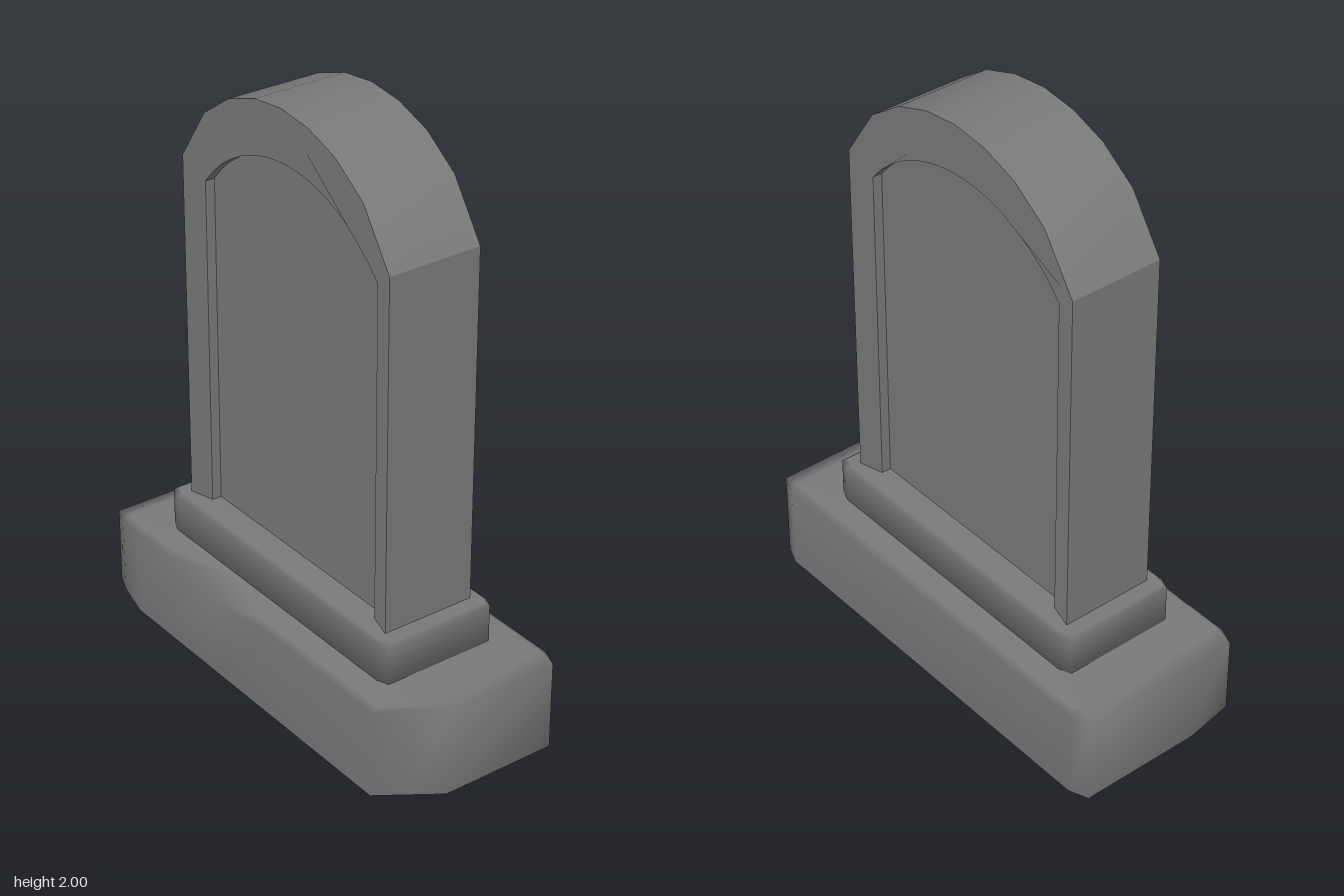
import * as THREE from 'three';
import { toCreasedNormals } from 'three/addons/utils/BufferGeometryUtils.js';

const material = new THREE.MeshStandardMaterial({ color: 0x797979 });

function addMesh(group, name, geometry) {
  const mesh = new THREE.Mesh(geometry, material);
  mesh.name = name;
  group.add(mesh);
}

// Closed solid through stacked rings of [x, y, z], counter-clockwise from above.
// Shared vertices give area-weighted normals: flat faces, softly shaded bevels.
function loft(rings) {
  const n = rings[0].length;
  const last = rings.length - 1;
  const points = rings.flat();
  const bottom = points.push([0, rings[0][0][1], 0]) - 1;
  const top = points.push([0, rings[last][0][1], 0]) - 1;
  const index = [];
  for (let i = 0; i < n; i++) {
    const j = (i + 1) % n;
    for (let k = 0; k < last; k++) {
      const a = k * n, b = a + n;
      index.push(a + i, a + j, b + j, a + i, b + j, b + i);
    }
    index.push(bottom, j, i, top, last * n + i, last * n + j);
  }
  const geo = new THREE.BufferGeometry();
  geo.setAttribute('position', new THREE.Float32BufferAttribute(points.flat(), 3));
  geo.setIndex(index);
  geo.computeVertexNormals();
  return geo;
}

// Extrude a [z, y] outline along x, centred
function slabOf(points, depth) {
  const shape = new THREE.Shape(points.map(([z, y]) => new THREE.Vector2(z, y)));
  const geo = new THREE.ExtrudeGeometry(shape, { depth, bevelEnabled: false });
  geo.translate(0, 0, -depth / 2);
  geo.rotateY(Math.PI / 2);
  return toCreasedNormals(geo, 0.5);
}

export function createModel() {
  const group = new THREE.Group();

  // Base: outer x, z, top bevel x, z, chip in the upper edge, chip in the lower edge
  const outline = [
    [0.31, 0.7, 0.285, 0.7, 0, 0],
    [0.31, -0.7, 0.285, -0.7, 0, 0],
    [0.285, -0.765, 0.27, -0.7, 0, 0],
    [-0.14, -0.765, -0.14, -0.7, 0, 0],
    [-0.285, -0.765, -0.27, -0.7, 0, 0.04],
    [-0.31, -0.7, -0.29, -0.69, 0, 0.04],
    [-0.31, -0.62, -0.29, -0.62, 0, 0],
    [-0.31, -0.43, -0.29, -0.43, 0, 0],
    [-0.31, -0.17, -0.22, -0.21, 0.03, 0],
    [-0.31, 0.08, -0.29, 0.08, 0, 0],
    [-0.31, 0.635, -0.287, 0.645, 0, 0],
    [-0.215, 0.7, -0.213, 0.695, -0.01, 0],
    [-0.12, 0.765, -0.2, 0.7, 0, 0],
    [0.285, 0.765, 0.27, 0.7, 0, 0],
  ];
  addMesh(group, 'base', loft([
    outline.map(([x, z, , , , lift]) => [x * (0.92 - 2 * lift), 0, z * (0.92 - 2 * lift)]),
    outline.map(([x, z, , , , lift]) => [x, 0.02 + lift, z]),
    outline.map(([x, z, , , drop]) => [x, 0.325 - drop, z]),
    outline.map(([, , x, z]) => [x, 0.34, z]),
  ]));

  // Plinth with clipped corners and a thin top bevel
  const corners = [
    [0.208, 0.53], [0.208, -0.53], [0.193, -0.57], [-0.193, -0.57],
    [-0.208, -0.53], [-0.208, 0.53], [-0.193, 0.57], [0.193, 0.57],
  ];
  const plinthRing = (y, inset) => corners.map(([x, z]) => [
    x - Math.sign(x) * inset, y, z - Math.sign(z) * inset,
  ]);
  addMesh(group, 'plinth', loft([
    plinthRing(0.32, 0), plinthRing(0.47, 0), plinthRing(0.48, 0.012),
  ]));

  // Arched frame, open at the foot, around a panel recessed on both faces
  const foot = 0.46;
  const half = [[0.512, 1.67], [0.39, 1.85], [0.26, 1.94], [0.13, 1.985]];
  const outer = [
    [0.512, foot], ...half, [0, 2],
    ...half.map(([z, y]) => [-z, y]).reverse(), [-0.512, foot],
  ];
  const inner = [[-0.427, foot]];
  const radius = 0.547, spread = 0.896, steps = 16;
  for (let i = 0; i <= steps; i++) {
    const a = -spread + (2 * spread * i) / steps;
    inner.push([radius * Math.sin(a), 1.265 + radius * Math.cos(a)]);
  }
  inner.push([0.427, foot]);

  // The frame faces dip slightly towards the recess
  const frame = slabOf([...outer, ...inner], 0.326);
  const pos = frame.attributes.position;
  for (let i = 0; i < pos.count; i++) {
    if (Math.abs(pos.getZ(i)) < 0.43 && pos.getY(i) < 1.83) {
      pos.setX(i, Math.sign(pos.getX(i)) * 0.139);
    }
  }
  addMesh(group, 'archedFrame', frame);
  addMesh(group, 'recessedPanel', slabOf(inner, 0.212));

  return group;
}
